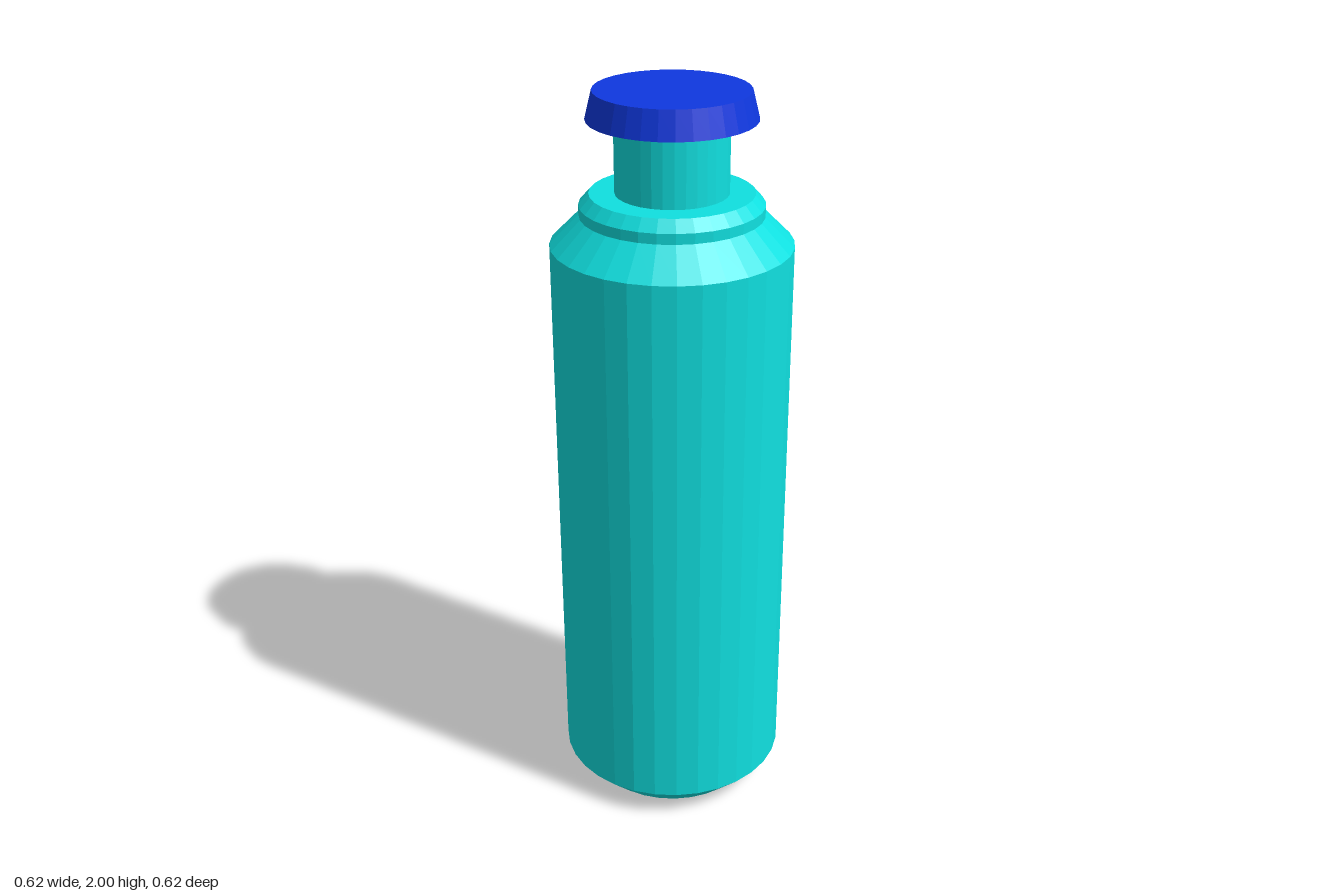
import * as THREE from 'three';

const SIDES = 32;

// Faceted solid of revolution from [radius, height] pairs, bottom to top
function turned(name, profile, material) {
  const points = profile.map(([r, y]) => new THREE.Vector2(r, y));
  const mesh = new THREE.Mesh(new THREE.LatheGeometry(points, SIDES), material);
  mesh.name = name;
  return mesh;
}

export function createModel() {
  const teal = new THREE.MeshStandardMaterial({ color: 0x10e0e0, flatShading: true });
  teal.name = 'teal';
  const blue = new THREE.MeshStandardMaterial({ color: 0x0f38e0, flatShading: true });
  blue.name = 'blue';

  const bottle = new THREE.Group();
  bottle.name = 'bottle';
  bottle.add(
    // body with chamfered base and sloping shoulder
    turned('body', [[0, 0], [0.236, 0], [0.312, 0.077], [0.312, 1.61], [0.236, 1.686]], teal),
    // stepped ring on top of the shoulder
    turned('collar', [[0.236, 1.686], [0.236, 1.713], [0.21, 1.742], [0.145, 1.742]], teal),
    turned('neck', [[0.145, 1.742], [0.145, 1.928]], teal),
    // tapered cap overhanging the neck
    turned('cap', [[0, 1.928], [0.215, 1.928], [0.197, 2], [0, 2]], blue)
  );
  return bottle;
}
